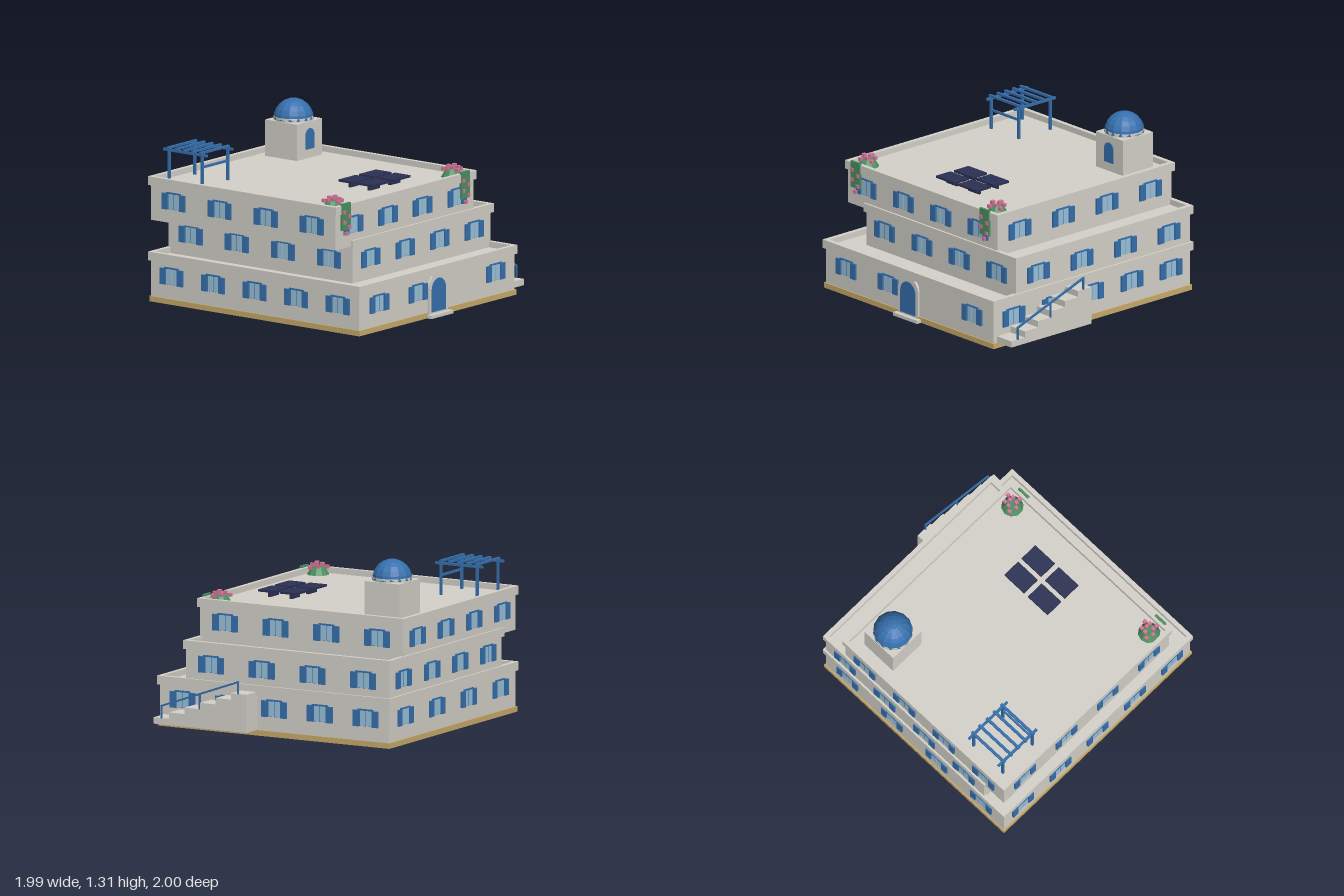
import * as THREE from 'three';

const mat = (name, color, flat = false) => {
  const m = new THREE.MeshStandardMaterial({ color });
  m.name = name;
  m.flatShading = flat;
  return m;
};

export function createModel() {
  const root = new THREE.Group();
  root.name = 'terracedHouse';
  const plaster = mat('plaster', 0xd5d2ca);
  const blue = mat('bluePaint', 0x3670ae, true);
  const glass = mat('glass', 0x9cc4dc);
  const sand = mat('sandStone', 0xc9ac6c);
  const navy = mat('solarNavy', 0x2b3154);
  const green = mat('leafGreen', 0x4c9160, true);
  const pink = mat('flowerPink', 0xd9749a);

  const add = (parent, name, geo, material, x = 0, y = 0, z = 0) => {
    const m = new THREE.Mesh(geo, material);
    m.name = name;
    m.position.set(x, y, z);
    parent.add(m);
    return m;
  };
  // Box given by its minimum and maximum on each axis
  const span = (parent, name, material, x0, x1, y0, y1, z0, z1) =>
    add(parent, name, new THREE.BoxGeometry(x1 - x0, y1 - y0, z1 - z0), material,
      (x0 + x1) / 2, (y0 + y1) / 2, (z0 + z1) / 2);
  const group = (name, parent = root) => {
    const g = new THREE.Group();
    g.name = name;
    parent.add(g);
    return g;
  };
  // Upright slab with a round top, standing on y = 0 and growing towards +z
  const archGeo = (half, spring, depth) => {
    const s = new THREE.Shape();
    s.moveTo(-half, 0);
    s.lineTo(half, 0);
    s.lineTo(half, spring);
    s.absarc(0, spring, half, 0, Math.PI, false);
    s.lineTo(-half, 0);
    return new THREE.ExtrudeGeometry(s, { depth, bevelEnabled: false, curveSegments: 14 });
  };

  // Window with lintel, two panes and open shutters, facing +z
  const paneGeo = new THREE.BoxGeometry(0.046, 0.112, 0.003);
  const frameGeo = new THREE.BoxGeometry(0.112, 0.122, 0.005);
  const shutterGeo = new THREE.BoxGeometry(0.052, 0.12, 0.015);
  const lintelGeo = new THREE.BoxGeometry(0.13, 0.01, 0.012);
  function addWindow(parent, x, y, z, turn) {
    const w = group('window', parent);
    w.position.set(x, y, z);
    w.rotation.y = turn;
    add(w, 'frame', frameGeo, blue, 0, 0.003, 0.0025);
    add(w, 'lintel', lintelGeo, blue, 0, 0.064, 0.006);
    for (const s of [-1, 1]) {
      add(w, 'pane', paneGeo, glass, s * 0.0255, 0, 0.0055);
      add(w, 'shutter', shutterGeo, blue, s * 0.08, -0.001, 0.0075);
    }
  }

  // Storeys: solid walls, a roof deck and a raised parapet ring
  function addStorey(name, x0, x1, z0, z1, y0, yp, sideCount, skipFront = -1) {
    const g = group(name);
    const e = 0.016, t = 0.034, top = yp + 0.065;
    span(g, 'walls', plaster, x0, x1, y0, yp + 0.022, z0, z1);
    const ring = new THREE.Shape();
    const rect = (p, a, b, c, d) => {
      p.moveTo(a, c); p.lineTo(b, c); p.lineTo(b, d); p.lineTo(a, d); p.lineTo(a, c);
    };
    rect(ring, x0 - e, x1 + e, -z1 - e, -z0 + e);
    const hole = new THREE.Path();
    rect(hole, x0 - e + t, x1 + e - t, -z1 - e + t, -z0 + e - t);
    ring.holes.push(hole);
    const geo = new THREE.ExtrudeGeometry(ring, { depth: top - yp, bevelEnabled: false });
    geo.rotateX(-Math.PI / 2);
    add(g, 'parapet', geo, plaster, 0, yp, 0);
    const wy = yp - 0.1;
    for (let i = 0; i < 4; i++) {
      const x = x0 + (x1 - x0) * (i + 0.5) / 4;
      if (i !== skipFront) addWindow(g, x, wy, z1, 0);
      addWindow(g, x, wy, z0, Math.PI);
    }
    for (let i = 0; i < sideCount; i++) {
      const z = z0 + (z1 - z0) * (i + 0.5) / sideCount;
      addWindow(g, x1, wy, z, Math.PI / 2);
      addWindow(g, x0, wy, z, -Math.PI / 2);
    }
  }
  span(root, 'plinth', sand, -0.99, 0.845, 0, 0.04, -0.99, 0.96);
  addStorey('groundFloor', -0.98, 0.835, -0.98, 0.95, 0.04, 0.305, 5, 2);
  addStorey('middleFloor', -0.78, 0.835, -0.98, 0.73, 0.31, 0.585, 4);
  addStorey('topFloor', -0.98, 0.635, -0.98, 0.73, 0.605, 0.865, 4);

  // Front entrance
  const entrance = group('entrance');
  add(entrance, 'doorSurround', archGeo(0.108, 0.192, 0.016), plaster, -0.072, 0.025, 0.95);
  add(entrance, 'frontDoor', archGeo(0.08, 0.165, 0.008), blue, -0.072, 0.038, 0.963);
  span(entrance, 'doorstep', plaster, -0.2, 0.06, 0, 0.025, 0.94, 1);

  // Outside stairs with handrail
  const stairs = group('stairs');
  for (let i = 0; i < 6; i++) {
    const z1 = 0.915 - i * 0.131;
    span(stairs, 'step', plaster, 0.835, 0.99, 0.04, 0.087 + i * 0.047, z1 - 0.131, z1);
  }
  const railSlope = (0.41 - 0.175) / (0.855 - 0.2);
  for (const [z, foot] of [[0.85, 0.085], [0.527, 0.18], [0.205, 0.32]])
    span(stairs, 'railPost', blue, 0.979, 0.991, foot, 0.175 + (0.855 - z) * railSlope, z - 0.006, z + 0.006);
  const rail = add(stairs, 'handrail',
    new THREE.BoxGeometry(0.013, 0.014, Math.hypot(0.655, 0.235)), blue, 0.985, 0.292, 0.5275);
  rail.rotation.x = Math.atan(railSlope);

  // Domed roof tower
  const tower = group('tower');
  span(tower, 'towerWalls', plaster, 0.238, 0.532, 0.88, 1.157, -0.89, -0.595);
  add(tower, 'drum', new THREE.CylinderGeometry(0.146, 0.146, 0.028, 16), plaster, 0.385, 1.17, -0.7425);
  add(tower, 'dome', new THREE.SphereGeometry(0.147, 14, 6, 0, Math.PI * 2, 0, Math.PI / 2),
    blue, 0.385, 1.165, -0.7425);
  add(tower, 'towerDoor', archGeo(0.047, 0.105, 0.009), blue, 0.385, 0.955, -0.595);

  // Pergola
  const pergola = group('pergola');
  for (const x of [-0.882, -0.582]) {
    for (const z of [-0.89, -0.585])
      span(pergola, 'post', blue, x - 0.009, x + 0.009, 0.88, 1.12, z - 0.009, z + 0.009);
    span(pergola, 'beam', blue, x - 0.009, x + 0.009, 1.112, 1.13, -0.94, -0.54);
  }
  for (let i = 0; i < 5; i++) {
    const z = -0.89 + i * 0.0755;
    span(pergola, 'rafter', blue, -0.902, -0.565, 1.13, 1.146, z - 0.01, z + 0.01);
  }
  span(pergola, 'crossRail', blue, -0.882, -0.582, 1.024, 1.04, -0.592, -0.578);

  // Solar panels
  const solar = group('solarPanels');
  for (const x of [-0.17, 0.07])
    for (const z of [0.265, 0.443]) {
      span(solar, 'panel', navy, x - 0.1, x + 0.1, 0.927, 0.943, z - 0.071, z + 0.071);
      span(solar, 'stand', navy, x - 0.06, x + 0.06, 0.885, 0.927, z - 0.01, z + 0.01);
    }

  // Flowering bushes with trailing vines
  const flowerGeo = new THREE.BoxGeometry(0.025, 0.025, 0.025);
  const trail = [[-0.03, 0.88], [0.032, 0.845], [-0.028, 0.805], [0.03, 0.765], [0.002, 0.718]];
  for (const x of [-0.88, 0.515]) {
    const bush = group('floweringBush');
    bush.position.set(x, 0, 0.627);
    add(bush, 'foliage', new THREE.CylinderGeometry(0.045, 0.084, 0.065, 10), green, 0, 0.917, 0);
    span(bush, 'vine', green, -0.05, 0.05, 0.745, 0.945, 0.108, 0.126);
    for (let i = 0; i < 9; i++) {
      const a = i * 2.4, r = 0.025 + 0.006 * i;
      add(bush, 'blossom', flowerGeo, pink, r * Math.cos(a), 0.972 - 0.0038 * i, r * Math.sin(a));
    }
    for (const [fx, fy] of trail) add(bush, 'vineBlossom', flowerGeo, pink, fx, fy, 0.124);
  }
  return root;
}
